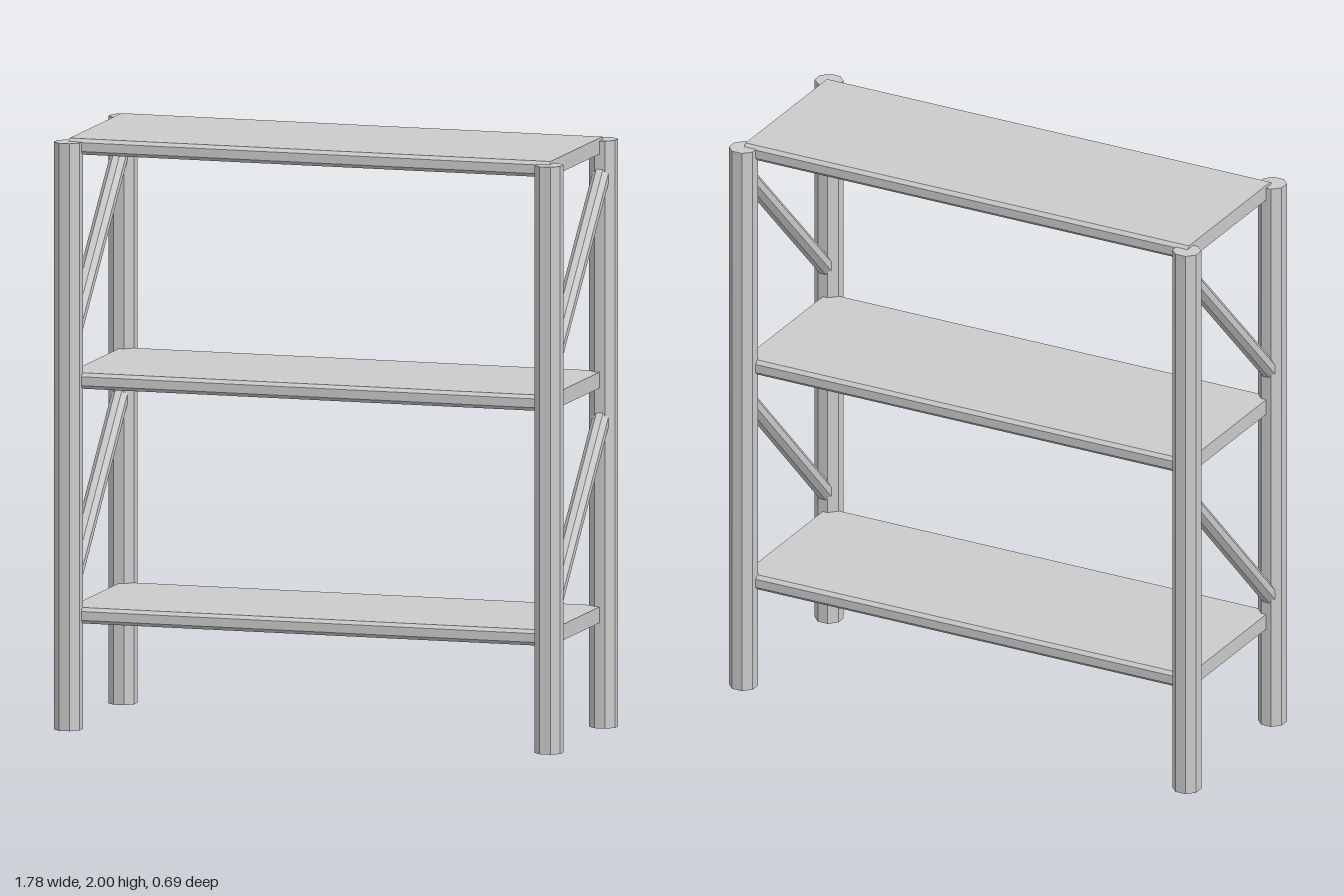
import * as THREE from 'three';

const material = new THREE.MeshStandardMaterial({ color: 0xcccccc, flatShading: true });

// Regular octagonal bar between two points, with flats facing the axes
function bar(name, from, to, halfWidth) {
  const dir = new THREE.Vector3().subVectors(to, from);
  const r = halfWidth / Math.cos(Math.PI / 8);
  const geo = new THREE.CylinderGeometry(r, r, dir.length(), 8);
  geo.rotateY(Math.PI / 8);
  const mesh = new THREE.Mesh(geo, material);
  mesh.name = name;
  mesh.position.addVectors(from, to).multiplyScalar(0.5);
  mesh.quaternion.setFromUnitVectors(new THREE.Vector3(0, 1, 0), dir.normalize());
  return mesh;
}

// Board with its long front and back edges chamfered, ends cut square
function shelfGeometry(length, depth, height, chamfer) {
  const z = depth / 2, y = height / 2, c = chamfer;
  const profile = new THREE.Shape([
    [-z + c, -y], [z - c, -y], [z, -y + c], [z, y - c],
    [z - c, y], [-z + c, y], [-z, y - c], [-z, -y + c],
  ].map(([a, b]) => new THREE.Vector2(a, b)));
  const geo = new THREE.ExtrudeGeometry(profile, { depth: length, bevelEnabled: false });
  geo.translate(0, 0, -length / 2);
  geo.rotateY(Math.PI / 2);
  return geo;
}

export function createModel() {
  const group = new THREE.Group();
  group.name = 'shelvingUnit';
  const postX = 0.845, postZ = 0.3, postHeight = 1.99;

  // Corner posts
  for (const sx of [1, -1]) {
    for (const sz of [1, -1]) {
      const name = (sz > 0 ? 'front' : 'back') + (sx > 0 ? 'Left' : 'Right') + 'Post';
      group.add(bar(name,
        new THREE.Vector3(sx * postX, 0, sz * postZ),
        new THREE.Vector3(sx * postX, postHeight, sz * postZ), 0.045));
    }
  }

  // Three shelves
  const boardGeo = shelfGeometry(postX * 2, 0.594, 0.054, 0.012);
  [['lowerShelf', 0.385], ['middleShelf', 1.18], ['topShelf', 1.973]].forEach(([name, y]) => {
    const shelf = new THREE.Mesh(boardGeo, material);
    shelf.name = name;
    shelf.position.y = y;
    group.add(shelf);
  });

  // Diagonal side braces, rising from the front posts to the back posts
  for (const sx of [1, -1]) {
    for (const [level, y0, y1] of [['lower', 0.45, 1.075], ['upper', 1.285, 1.9]]) {
      group.add(bar(level + (sx > 0 ? 'Left' : 'Right') + 'Brace',
        new THREE.Vector3(sx * postX, y0, postZ),
        new THREE.Vector3(sx * postX, y1, -postZ), 0.028));
    }
  }

  return group;
}
